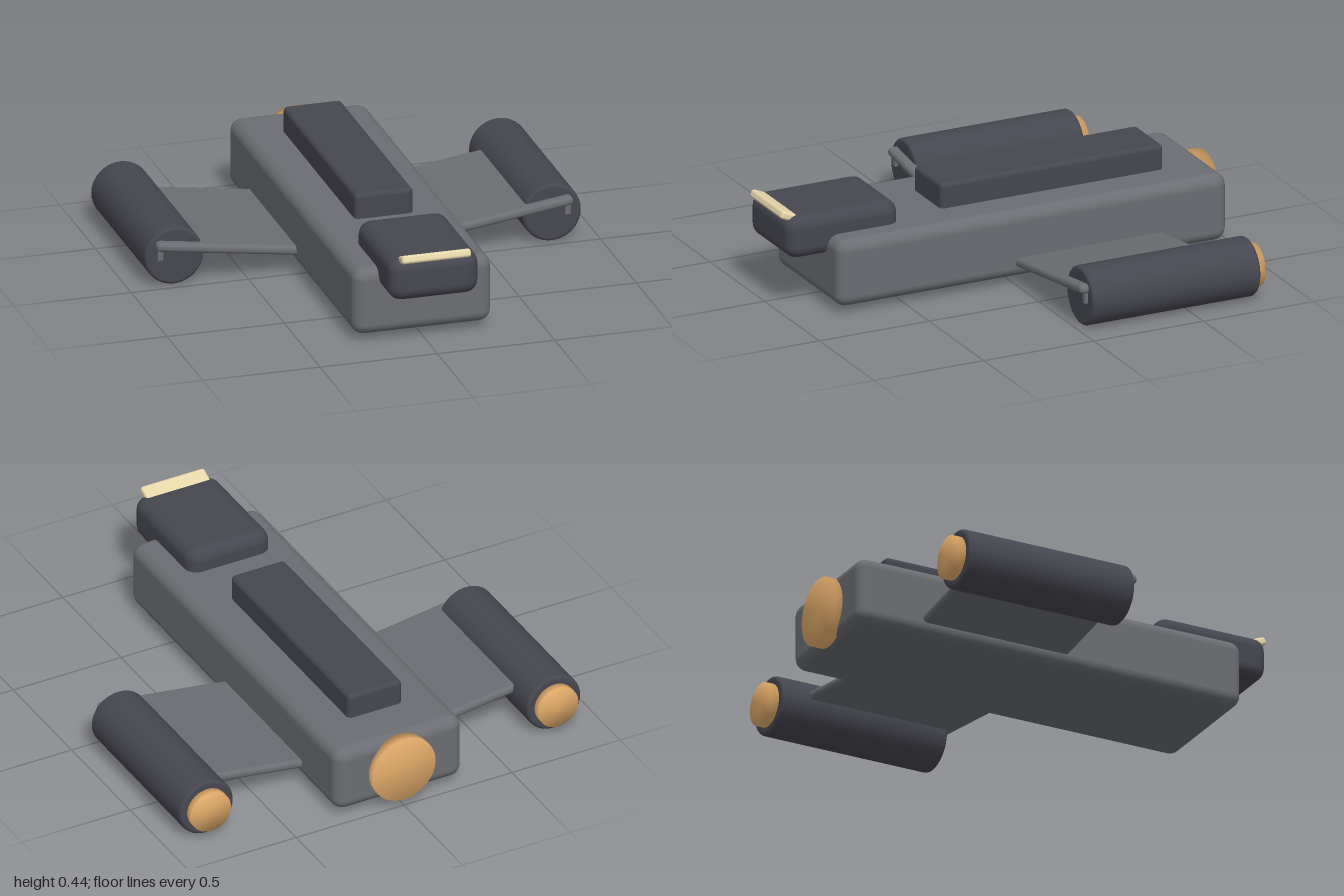
import * as THREE from 'three';
import { RoundedBoxGeometry } from 'three/addons/geometries/RoundedBoxGeometry.js';
import { mergeVertices } from 'three/addons/utils/BufferGeometryUtils.js';

const makeMaterial = (name, color) => {
  const m = new THREE.MeshStandardMaterial({ color });
  m.name = name;
  return m;
};

export function createModel() {
  const ship = new THREE.Group();
  ship.name = 'spaceship';
  const hullGrey = makeMaterial('hull grey', 0x6b6d72);
  const darkGrey = makeMaterial('dark grey', 0x464650);
  const glowOrange = makeMaterial('engine orange', 0xe0aa6a);
  const windowCream = makeMaterial('window cream', 0xe6d6aa);

  function add(name, geometry, material, x, y, z) {
    const mesh = new THREE.Mesh(geometry, material);
    mesh.name = name;
    mesh.position.set(x, y, z);
    ship.add(mesh);
    return mesh;
  }
  const box = (w, h, d, r) => new RoundedBoxGeometry(w, h, d, 4, r);

  // Short disc whose shared normals give the exhaust a soft, domed shading
  function exhaust(radius, depth) {
    let g = new THREE.CylinderGeometry(radius, radius, depth, 40);
    g.deleteAttribute('normal');
    g.deleteAttribute('uv');
    g = mergeVertices(g);
    g.computeVertexNormals();
    return g.rotateX(Math.PI / 2);
  }

  // Cylinder along z with softly rounded rims
  function nacelle(radius, length, bevel) {
    const h = length / 2;
    const profile = [new THREE.Vector2(0, -h), new THREE.Vector2(radius - bevel - 0.001, -h)];
    for (const [side, start] of [[-1, -Math.PI / 2], [1, 0]]) {
      for (let i = 0; i <= 4; i++) {
        const a = start + (i / 4) * Math.PI / 2;
        profile.push(new THREE.Vector2(
          radius - bevel + Math.cos(a) * bevel, side * (h - bevel) + Math.sin(a) * bevel));
      }
    }
    profile.push(new THREE.Vector2(radius - bevel - 0.001, h), new THREE.Vector2(0, h));
    return new THREE.LatheGeometry(profile, 40).rotateX(Math.PI / 2);
  }

  // Body
  add('hull', box(0.59, 0.29, 1.775, 0.05), hullGrey, 0, 0.175, -0.08);
  add('spine', box(0.25, 0.2, 1.015, 0.02), darkGrey, 0, 0.328, -0.248);
  add('bridge', box(0.38, 0.185, 0.505, 0.055), darkGrey, 0, 0.324, 0.728);
  const visor = add('bridgeWindow', box(0.295, 0.035, 0.07, 0.012), windowCream, 0, 0.413, 0.961);
  visor.rotation.x = -0.4;
  add('mainExhaust', exhaust(0.146, 0.05), glowOrange, 0, 0.175, -0.975);

  // Wings and outboard engines, mirrored
  for (const [side, s] of [['left', 1], ['right', -1]]) {
    const wing = add(side + 'Wing', box(0.7, 0.04, 0.675, 0.018), hullGrey, s * 0.54, 0.134, -0.335);
    wing.rotation.z = s * 0.14;
    add(side + 'Engine', nacelle(0.125, 0.765, 0.014), darkGrey, s * 0.805, 0.126, -0.417);
    add(side + 'Exhaust', exhaust(0.092, 0.05), glowOrange, s * 0.805, 0.126, -0.81);
    add(side + 'Bracket', box(0.024, 0.06, 0.03, 0.003), hullGrey, s * 0.868, 0.146, -0.035);
  }
  return ship;
}
